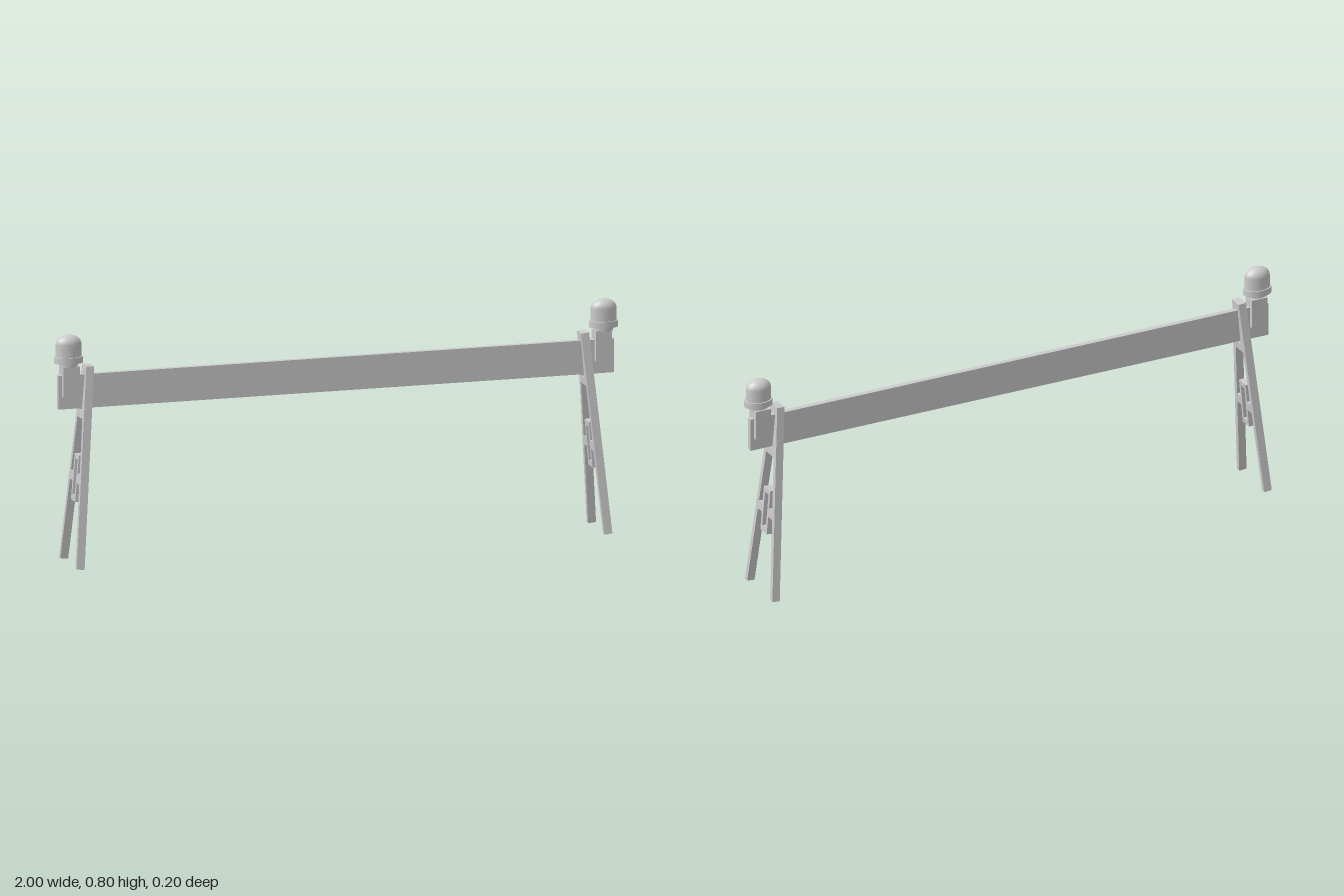
import * as THREE from 'three';

const material = new THREE.MeshStandardMaterial({ color: 0xcccccc });

function part(name, geometry) {
  const mesh = new THREE.Mesh(geometry, material);
  mesh.name = name;
  return mesh;
}

function rectHole(halfWidth, y0, y1) {
  return new THREE.Path([[-halfWidth, y0], [-halfWidth, y1], [halfWidth, y1], [halfWidth, y0]]
    .map(([x, y]) => new THREE.Vector2(x, y)));
}

// Mirrors a list of [x, y] points into a closed symmetric outline
function symmetric(points) {
  const mirrored = points.map(([x, y]) => [-x, y]).reverse();
  return [...points, ...mirrored].map(([x, y]) => new THREE.Vector2(x, y));
}

// A-frame with a plank slot, an open middle and a handle ring on the lower rail
function trestleGeometry() {
  const inner = (y) => 0.085 - 0.114 * y;
  const shape = new THREE.Shape(symmetric([
    [0.024, 0.218], [0.024, 0.283], [inner(0.283), 0.283], [inner(0), 0], [0.102, 0], [0.024, 0.687],
  ]));
  shape.holes.push(
    rectHole(0.013, 0.532, 0.66),
    rectHole(0.013, 0.237, 0.361),
    new THREE.Path(symmetric([
      [0.024, 0.378], [0.024, 0.314], [inner(0.314), 0.314], [inner(0.505), 0.505],
    ])),
  );
  const depth = 0.028;
  return new THREE.ExtrudeGeometry(shape, { depth, bevelEnabled: false })
    .translate(0, 0, -depth / 2)
    .rotateY(Math.PI / 2);
}

// Warning lamp: oval neck, collar and domed lens
function lamp() {
  const group = new THREE.Group();
  group.name = 'warningLamp';
  const stretch = 1.43;
  const disc = (r, y0, y1) => new THREE.CylinderGeometry(r, r, y1 - y0, 32)
    .translate(0, (y0 + y1) / 2, 0).scale(stretch, 1, 1);

  const r = 0.0315;
  const profile = [new THREE.Vector2(r, 0.72)];
  for (let i = 0; i <= 10; i++) {
    const a = (i / 10) * Math.PI / 2;
    profile.push(new THREE.Vector2(i === 10 ? 0 : r * Math.cos(a), 0.765 + 0.032 * Math.sin(a)));
  }
  group.add(
    part('lampNeck', disc(0.023, 0.685, 0.702)),
    part('lampCollar', disc(0.0355, 0.7, 0.722)),
    part('lampLens', new THREE.LatheGeometry(profile, 32).scale(stretch, 1, 1)),
  );
  return group;
}

export function createModel() {
  const model = new THREE.Group();
  model.name = 'roadBarrier';

  // Plank running through both trestles
  model.add(part('plank', new THREE.BoxGeometry(1.97, 0.117, 0.019).translate(0, 0.5985, 0)));

  for (const side of [1, -1]) {
    const label = side > 0 ? 'left' : 'right';

    // Trestle leaning inward at the top
    const trestle = part(label + 'Trestle', trestleGeometry());
    trestle.rotation.z = side * 0.085;
    trestle.position.set(side * 0.936, 0.0012, 0);
    model.add(trestle);

    // Bracket straddling the plank under the lamp
    const bracket = part(label + 'LampBracket', new THREE.BoxGeometry(0.058, 0.104, 0.048));
    bracket.position.set(side * 0.944, 0.637, 0);
    model.add(bracket);

    const light = lamp();
    light.name = label + 'Lamp';
    light.position.set(side * 0.949, 0, 0.004);
    model.add(light);
  }
  return model;
}
